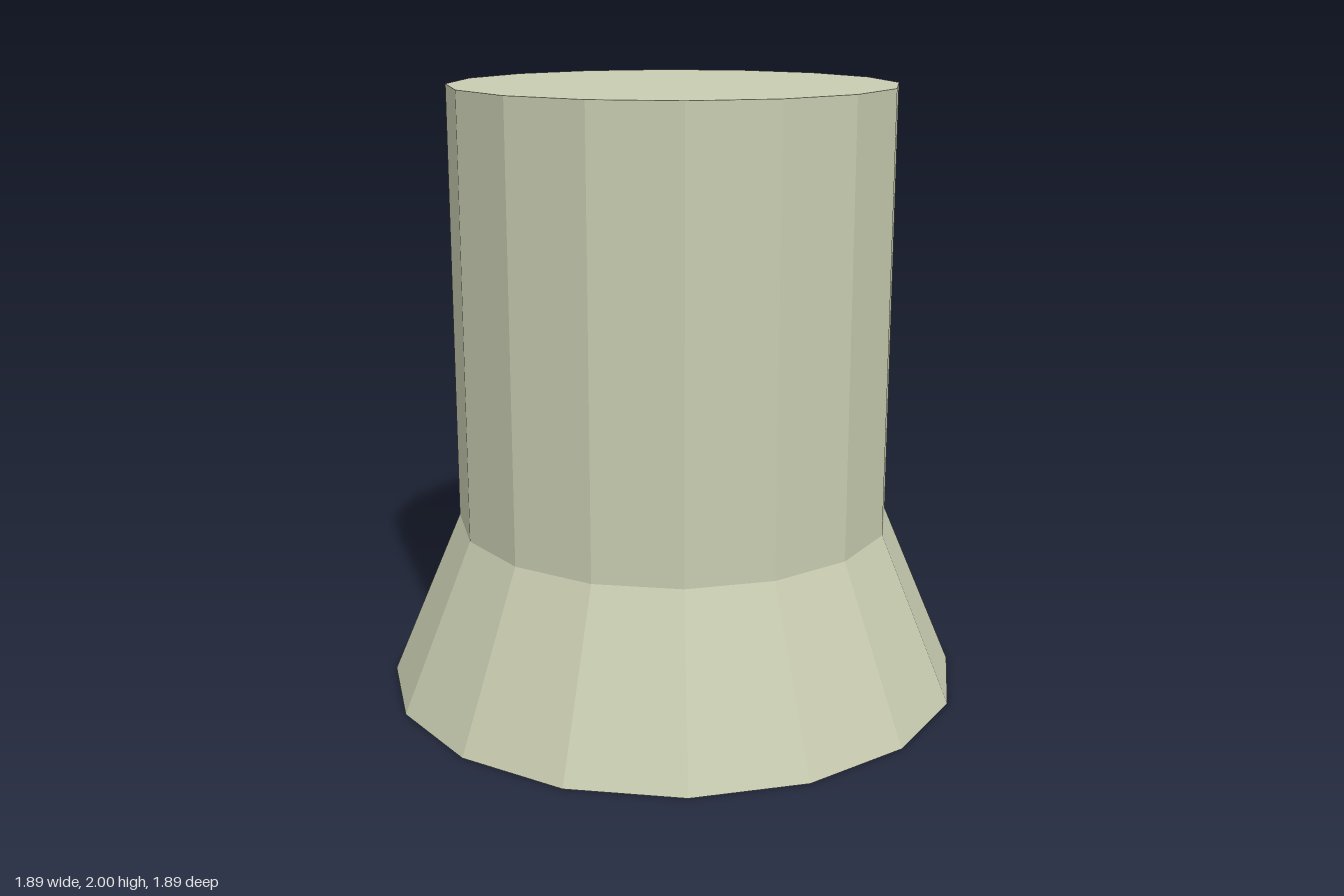
import * as THREE from 'three';

const SIDES = 16;
const BASE_R = 0.963, SHAFT_R = 0.726, NECK_Y = 0.56, TOP_Y = 2;

export function createModel() {
  const group = new THREE.Group();
  group.name = 'flaredPost';
  const material = new THREE.MeshStandardMaterial({ color: 0xc8ccb0, flatShading: true });

  // Faceted solid of revolution, with a flat side facing the front
  const addTurned = (name, profile) => {
    const points = profile.map(([r, y]) => new THREE.Vector2(r, y));
    const mesh = new THREE.Mesh(new THREE.LatheGeometry(points, SIDES, Math.PI / SIDES), material);
    mesh.name = name;
    group.add(mesh);
  };

  // Flared foot, closed underneath
  addTurned('flaredBase', [[0, 0], [BASE_R, 0], [SHAFT_R, NECK_Y]]);
  // Straight shaft, closed on top
  addTurned('shaft', [[SHAFT_R, NECK_Y], [SHAFT_R, TOP_Y], [0, TOP_Y]]);

  return group;
}
